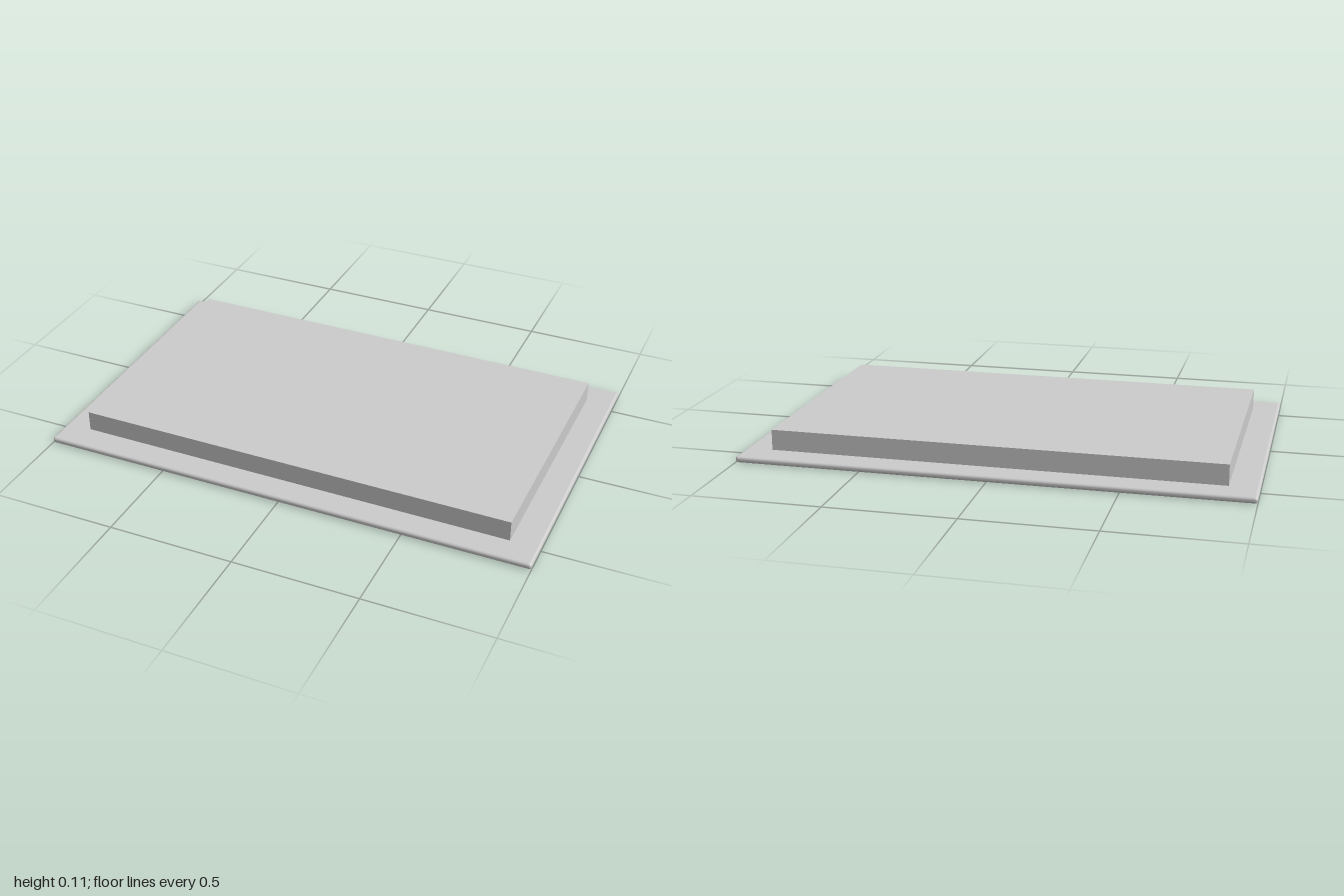
import * as THREE from 'three';
import { RoundedBoxGeometry } from 'three/addons/geometries/RoundedBoxGeometry.js';

export function createModel() {
  const group = new THREE.Group();
  const material = new THREE.MeshStandardMaterial({ color: 0xcccccc });

  const add = (name, geometry, y) => {
    const mesh = new THREE.Mesh(geometry, material);
    mesh.name = name;
    mesh.position.y = y;
    group.add(mesh);
    return mesh;
  };

  // Thin base plate with rounded rim
  const plateHeight = 0.025;
  add('basePlate', new RoundedBoxGeometry(2, plateHeight, 1.238, 5, 0.011), plateHeight / 2);

  // Sharp-edged raised block, turned very slightly on the plate
  const blockHeight = 0.082;
  const block = add('raisedBlock', new THREE.BoxGeometry(1.778, blockHeight, 1.022), plateHeight + blockHeight / 2);
  block.rotation.y = -0.0045;

  return group;
}
